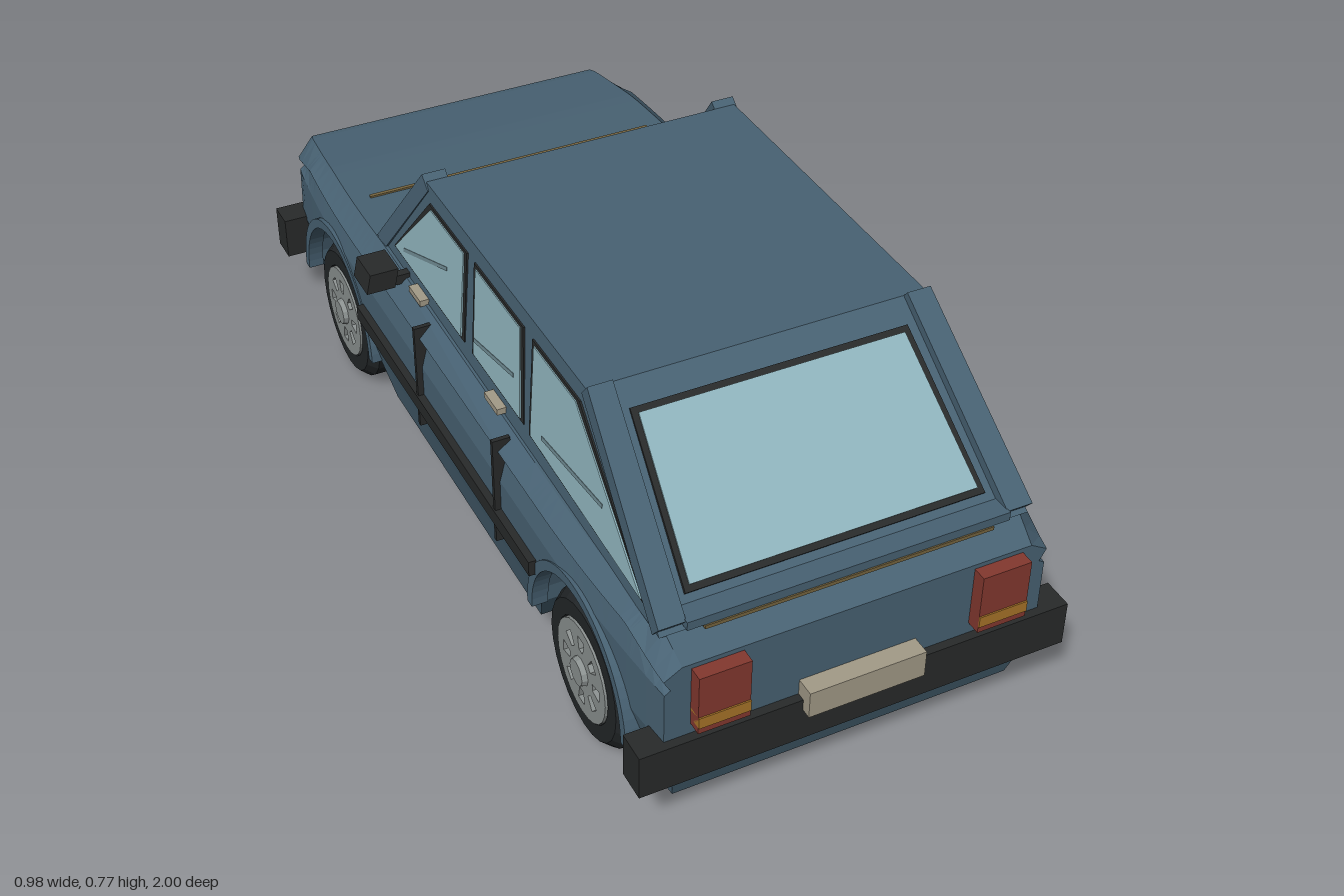
import * as THREE from 'three';
import { ConvexGeometry } from 'three/addons/geometries/ConvexGeometry.js';

const V = (x, y, z) => new THREE.Vector3(x, y, z);
const mat = (color) => new THREE.MeshStandardMaterial({ color, flatShading: true });
const M = {
  paint: mat(0x486273), black: mat(0x282a2a), glass: mat(0x8fb4bd), streak: mat(0x6f8a92), tyre: mat(0x222628),
  rim: mat(0x8b9190), tan: mat(0xa39b88), red: mat(0x83382f), amber: mat(0xa87428), brass: mat(0x75643f),
};
const ARCHES = [0.645, -0.66], ARCH_Y = 0.165, ARCH_R = 0.205;

// Linear interpolation through [position, value] pairs with rising positions
function lerpTable(table, p) {
  if (p <= table[0][0]) return table[0][1];
  for (let i = 1; i < table.length; i++) {
    const [a, va] = table[i - 1], [b, vb] = table[i];
    if (p <= b) return va + (vb - va) * (p - a) / (b - a);
  }
  return table[table.length - 1][1];
}

// Lower body: cross-sections lofted along z, with the wheel arches in the bottom line
function bodyGeometry() {
  const arch = (c) => Array.from({ length: 17 }, (_, i) => {
    const a = i / 16 * Math.PI;
    return [c + ARCH_R * Math.cos(a), ARCH_Y + ARCH_R * Math.sin(a)];
  });
  const stations = [[0.96, 0.17], [0.93, 0.08], [0.9, 0.08], ...arch(ARCHES[0]), [0.39, 0.08],
    [-0.406, 0.08], ...arch(ARCHES[1]), [-0.915, 0.08], [-0.94, 0.08], [-0.98, 0.2]];
  const topY = [[-0.98, 0.46], [-0.76, 0.483], [-0.4, 0.492], [0.5, 0.475], [0.9, 0.468], [0.96, 0.43]];
  const shoulderY = [[-0.96, 0.41], [-0.83, 0.45], [0.83, 0.45], [0.95, 0.408]];
  const width = [[0.08, 0.385], [0.17, 0.405], [0.25, 0.425], [0.375, 0.425]];
  const rings = stations.map(([z, yb], i) => {
    const e = Math.max(0, Math.abs(z) - 0.5) / 0.48, s = 1 - 0.07 * e * e;
    const sh = lerpTable(shoulderY, z);
    const half = [0.08, 0.17, 0.25, 0.375].map((l) => {
      const y = Math.max(l, yb);
      return [lerpTable(width, y) * s, y];
    });
    half.push([0.412 * s, sh - 0.025], [0.427 * s, sh], [0.388 * s, lerpTable(topY, z)]);
    const nose = (y) => i === stations.length - 1 ? (y - 0.2) * 0.08 : 0;
    const outline = [...half, ...half.slice().reverse().map(([x, y]) => [-x, y])];
    return outline.map(([x, y]) => V(x, y, z + nose(y)));
  });
  const pos = [], tri = (...p) => p.forEach((v) => pos.push(v.x, v.y, v.z));
  const n = rings[0].length;
  for (let i = 0; i + 1 < rings.length; i++) for (let j = 0; j < n; j++) {
    const k = (j + 1) % n, a = rings[i], b = rings[i + 1];
    tri(a[j], b[j], a[k]);
    tri(a[k], b[j], b[k]);
  }
  for (const [ring, rear] of [[rings[0], true], [rings[rings.length - 1], false]]) {
    const c = V(0, 0.32, (ring[0].z + ring[n - 1].z) / 2 + (rear ? 0 : 0.01));
    ring.forEach((p, j) => rear ? tri(c, p, ring[(j + 1) % n]) : tri(c, ring[(j + 1) % n], p));
  }
  const g = new THREE.BufferGeometry();
  g.setAttribute('position', new THREE.Float32BufferAttribute(pos, 3));
  g.computeVertexNormals();
  return g;
}

// Points on the three sloping faces of the cabin
const hatchPt = (x, y) => V(x, y, 0.91 - (y - 0.47) * 1.233);
const screenPt = (x, y) => V(x, y, -0.43 + (y - 0.49) * 0.824);
const sidePt = (s) => (z, y) => V(s * (0.383 - (y - 0.47) * 0.1), y, z);
const HATCH_N = V(0, 0.777, 0.63), SCREEN_N = V(0, 0.636, -0.772);

export function createModel() {
  const car = new THREE.Group();
  car.name = 'car';
  const add = (name, geo, m, parent = car) => {
    const mesh = new THREE.Mesh(geo, m);
    mesh.name = name;
    parent.add(mesh);
    return mesh;
  };
  const box = (name, m, x0, x1, y0, y1, z0, z1) =>
    add(name, new THREE.BoxGeometry(x1 - x0, y1 - y0, z1 - z0)
      .translate((x0 + x1) / 2, (y0 + y1) / 2, (z0 + z1) / 2), m);
  // Same box on one side s of the car
  const sideBox = (name, m, s, x0, x1, ...r) => box(name, m, Math.min(s * x0, s * x1), Math.max(s * x0, s * x1), ...r);
  // Convex plate standing off a surface along a normal
  const plate = (name, m, pts, normal, t, sink = 0.01) => add(name, new ConvexGeometry(pts.flatMap((p) =>
    [p.clone().addScaledVector(normal, -sink), p.clone().addScaledVector(normal, t)])), m);
  const grow = (pts, d) => {
    const c = pts.reduce((a, p) => a.add(p), V(0, 0, 0)).divideScalar(pts.length);
    return pts.map((p) => p.clone().add(V(...['x', 'y', 'z'].map((k) => Math.sign(Math.round((p[k] - c[k]) * 200)) * d[k]))));
  };

  add('lowerBody', bodyGeometry(), M.paint);

  // Cabin
  const cabin = [];
  for (const s of [-1, 1]) for (const [z, y] of [[0.91, 0.465], [0.556, 0.757], [-0.21, 0.757], [-0.43, 0.475]])
    cabin.push(sidePt(s)(z, y));
  add('cabin', new ConvexGeometry(cabin), M.paint);

  // Front and rear screens with frames
  const trapezoid = (f, xb, yb, xt, yt) => [f(-xb, yb), f(xb, yb), f(xt, yt), f(-xt, yt)];
  plate('hatchFrame', M.black, trapezoid(hatchPt, 0.312, 0.505, 0.29, 0.722), HATCH_N, 0.004);
  plate('hatchGlass', M.glass, trapezoid(hatchPt, 0.3, 0.513, 0.278, 0.714), HATCH_N, 0.007);
  plate('windscreenFrame', M.black, trapezoid(screenPt, 0.312, 0.52, 0.272, 0.744), SCREEN_N, 0.004);
  plate('windscreenGlass', M.glass, trapezoid(screenPt, 0.295, 0.535, 0.258, 0.735), SCREEN_N, 0.007);
  const strip = (name, m, f, a, b, w, normal, t) =>
    plate(name, m, [f(a[0], a[1]), f(b[0], b[1]), f(b[0], b[1] + w), f(a[0], a[1] + w)], normal, t);
  strip('screenReflection', M.streak, screenPt, [-0.19, 0.55], [-0.09, 0.70], 0.03, SCREEN_N, 0.008);
  for (const x of [-0.17, 0.04]) strip('wiper', M.black, screenPt, [x, 0.535], [x + 0.14, 0.59], 0.008, SCREEN_N, 0.015);
  box('wiperCowl', M.black, -0.235, 0.235, 0.485, 0.505, -0.468, -0.452);
  box('hoodStripe', M.brass, -0.345, 0.345, 0.48, 0.491, -0.614, -0.605);
  box('hatchLip', M.paint, -0.335, 0.335, 0.473, 0.492, 0.87, 0.922);
  box('hatchTrim', M.brass, -0.3, 0.3, 0.464, 0.472, 0.89, 0.924);

  // Side windows as [z, y] outlines, with reflections
  const windows = [
    [[0.84, 0.5], [0.53, 0.715], [0.345, 0.715], [0.36, 0.52]],
    [[0.31, 0.525], [0.28, 0.715], [0.065, 0.715], [0.08, 0.525]],
    [[0.015, 0.525], [0.005, 0.715], [-0.17, 0.715], [-0.35, 0.525]],
  ];
  const streaks = [[[0.67, 0.575], [0.41, 0.545]], [[0.27, 0.595], [0.08, 0.555]], [[-0.07, 0.63], [-0.3, 0.54]]];

  for (const s of [-1, 1]) {
    const at = sidePt(s), out = V(s, 0, 0);
    windows.forEach((w, i) => {
      const pts = w.map(([z, y]) => at(z, y));
      plate('windowFrame', M.black, grow(pts, V(0, 0.007, 0.012)), out, 0.003);
      plate('sideWindow', M.glass, pts, out, 0.006);
      strip('windowReflection', M.streak, at, ...streaks[i], 0.009, out, 0.007);
    });

    // Raised rails beside the hatch and the windscreen
    plate('hatchRail', M.paint, [hatchPt(s * 0.333, 0.475), hatchPt(s * 0.388, 0.475),
      hatchPt(s * 0.358, 0.757), hatchPt(s * 0.307, 0.757)], HATCH_N, 0.018, 0.02);
    plate('windscreenRail', M.paint, [screenPt(s * 0.333, 0.485), screenPt(s * 0.388, 0.485),
      screenPt(s * 0.358, 0.757), screenPt(s * 0.307, 0.757)], SCREEN_N, 0.018, 0.02);

    // Side trim, door seams, handles
    sideBox('sideTrim', M.black, s, 0.41, 0.441, 0.27, 0.305, -0.475, 0.468);
    for (const z of [0.295, -0.115]) sideBox('doorSeam', M.black, s, 0.4, 0.438, 0.225, 0.478, z - 0.005, z + 0.005);
    for (const z of [0.205, -0.2]) sideBox('doorHandle', M.tan, s, 0.375, 0.4, 0.486, 0.5, z - 0.032, z + 0.032);

    // Mirror
    plate('mirror', M.black, [V(s * 0.415, 0.54, 0), V(s * 0.478, 0.54, 0), V(s * 0.488, 0.495, 0), V(s * 0.425, 0.495, 0)]
      .map((p) => p.setZ(-0.285)), V(0, 0, 1), 0.04, 0.04);
    sideBox('mirrorStalk', M.black, s, 0.375, 0.445, 0.478, 0.5, -0.295, -0.275);

    // Lamps
    sideBox('tailLamp', M.red, s, 0.24, 0.345, 0.285, 0.42, 0.94, 0.99);
    sideBox('rearIndicator', M.amber, s, 0.24, 0.345, 0.3, 0.325, 0.95, 0.993);
    sideBox('headlampFrame', M.black, s, 0.195, 0.345, 0.325, 0.435, -0.985, -0.94);
    sideBox('headlamp', M.tan, s, 0.205, 0.318, 0.335, 0.425, -0.99, -0.95);
    sideBox('frontIndicator', M.amber, s, 0.322, 0.36, 0.335, 0.425, -0.988, -0.94);

    for (const z of ARCHES) {
      // Arch lip
      const lip = new THREE.Shape();
      lip.absarc(0, 0, 0.222, 0, Math.PI, false);
      lip.absarc(0, 0, 0.2, Math.PI, 0, true);
      const lipGeo = new THREE.ExtrudeGeometry(lip, { depth: 0.035, bevelEnabled: false, curveSegments: 16 });
      add('archLip', lipGeo.translate(0, 0, -0.0175).rotateY(-Math.PI / 2), M.paint).position.set(s * 0.41, ARCH_Y, z);

      // Wheel, built around y and turned so that its outside faces outward
      const wheel = new THREE.Group();
      wheel.name = 'wheel';
      wheel.position.set(s * 0.36, 0.163, z);
      wheel.rotation.z = -s * Math.PI / 2;
      car.add(wheel);
      const profile = [[0, -0.05], [0.14, -0.05], [0.163, -0.028], [0.163, 0.028], [0.145, 0.05], [0.11, 0.05], [0.104, 0.035], [0, 0.035]];
      add('tyre', new THREE.LatheGeometry(profile.map(([r, h]) => new THREE.Vector2(r, h)), 24), M.tyre, wheel);
      const disc = new THREE.Shape().absarc(0, 0, 0.107, 0, Math.PI * 2);
      for (let i = 0; i < 8; i++) {
        const a = i / 8 * Math.PI * 2, c = Math.cos(a), n = Math.sin(a);
        const hole = [[0.05, -0.008], [0.08, -0.014], [0.08, 0.014], [0.05, 0.008]];
        disc.holes.push(new THREE.Path(hole.map(([r, t]) => new THREE.Vector2(r * c - t * n, r * n + t * c))));
      }
      const rim = new THREE.ExtrudeGeometry(disc, { depth: 0.02, bevelEnabled: false, curveSegments: 12 });
      add('rim', rim.rotateX(-Math.PI / 2).translate(0, 0.034, 0), M.rim, wheel);
      add('hubCap', new THREE.CylinderGeometry(0.028, 0.034, 0.02, 12).translate(0, 0.055, 0), M.rim, wheel);
    }
  }

  // Bumpers, number plates and grille
  box('rearBumper', M.black, -0.455, 0.455, 0.16, 0.26, 0.912, 0.978);
  box('frontBumper', M.black, -0.455, 0.455, 0.16, 0.26, -1, -0.935);
  box('rearPlate', M.tan, -0.123, 0.123, 0.235, 0.295, 0.95, 1);
  box('frontPlate', M.tan, -0.123, 0.123, 0.25, 0.295, -1, -0.95);
  box('grille', M.black, -0.115, 0.115, 0.335, 0.415, -0.985, -0.94);
  for (let i = 0; i < 3; i++) box('grilleSlat', M.paint, -0.1, 0.1, 0.35 + i * 0.022, 0.356 + i * 0.022, -0.99, -0.95);
  return car;
}
